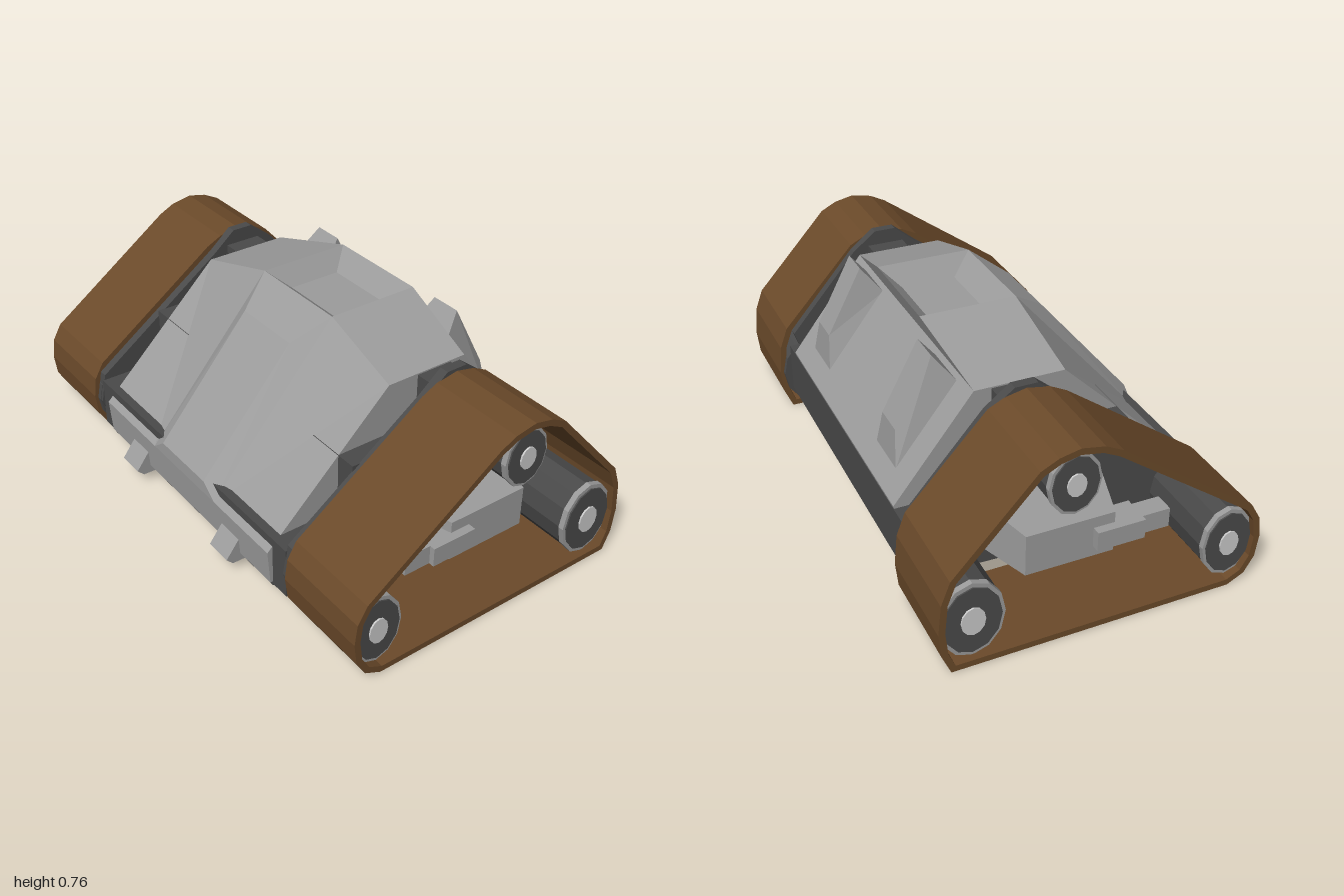
import * as THREE from 'three';

const mat = (color) => new THREE.MeshStandardMaterial({ color, flatShading: true });
const grey = mat(0x9c9c9c), dark = mat(0x4a4a4a), light = mat(0xcccccc), brown = mat(0x6b4a2a);

// Flat-shaded mesh; s = -1 mirrors the geometry across x, keeping faces outward
function part(name, geometry, material, s = 1) {
  const g = geometry.index ? geometry.toNonIndexed() : geometry;
  if (s < 0) {
    const p = g.attributes.position;
    const v = [0, 1, 2].map(() => new THREE.Vector3());
    for (let i = 0; i < p.count; i += 3) {
      v.forEach((q, k) => q.fromBufferAttribute(p, i + k));
      [v[0], v[2], v[1]].forEach((q, k) => p.setXYZ(i + k, -q.x, q.y, q.z));
    }
  }
  g.computeVertexNormals();
  const mesh = new THREE.Mesh(g, material);
  mesh.name = name;
  return mesh;
}

// Extrude a side outline of [z, y] points from x0 to x1
function slab(outline, x0, x1, hole) {
  const vec = (l) => l.map(([z, y]) => new THREE.Vector2(z, y));
  const shape = new THREE.Shape(vec(outline));
  if (hole) shape.holes.push(new THREE.Path(vec(hole)));
  const g = new THREE.ExtrudeGeometry(shape, { depth: x1 - x0, bevelEnabled: false });
  return g.rotateY(-Math.PI / 2).translate(x1, 0, 0);
}

const box = (x0, x1, y0, y1, z0, z1) => new THREE.BoxGeometry(x1 - x0, y1 - y0, z1 - z0)
  .translate((x0 + x1) / 2, (y0 + y1) / 2, (z0 + z1) / 2);

// Move a convex outline inward by a constant thickness
function inset(points, t) {
  const n = points.length;
  const edge = (a, b) => {
    const d = [b[0] - a[0], b[1] - a[1]], l = Math.hypot(...d);
    return [-d[1] / l, d[0] / l];
  };
  return points.map((p, i) => {
    const a = edge(points[(i + n - 1) % n], p), b = edge(p, points[(i + 1) % n]);
    const k = t / (1 + a[0] * b[0] + a[1] * b[1]);
    return [p[0] + (a[0] + b[0]) * k, p[1] + (a[1] + b[1]) * k];
  });
}

// Geometry from named corners and convex faces, counter-clockwise from outside
function faceted(corners, faces) {
  const pos = [];
  for (const f of faces)
    for (let i = 1; i < f.length - 1; i++)
      for (const k of [f[0], f[i], f[i + 1]]) pos.push(...corners[k]);
  const g = new THREE.BufferGeometry();
  g.setAttribute('position', new THREE.Float32BufferAttribute(pos, 3));
  return g;
}

// Six-sided solid: outer rectangle corners then base rectangle corners
const hexa = (corners) => faceted(corners, [
  [0, 1, 2, 3], [7, 6, 5, 4], [0, 4, 5, 1], [1, 5, 6, 2], [2, 6, 7, 3], [3, 7, 4, 0]]);

// Faceted armoured hull; capitals are the +x corners, small letters the -x ones
function hullGeometry() {
  const half = {
    A: [0.2, 0.76, 0.05], B: [0.135, 0.67, 0.18], C: [0.135, 0.25, 0.54], D: [0.2, 0.2, 0.54],
    E: [0.535, 0.66, 0.06], F: [0.535, 0.2, 0.54], G: [0.535, 0.07, 0.53], H: [0.535, 0.08, -0.5],
    I: [0.535, 0.3, -0.54], J: [0.535, 0.66, -0.26], K: [0.2, 0.76, -0.3],
    L: [0.145, 0.69, -0.03], M: [0.145, 0.69, -0.23],
  };
  const corners = {};
  for (const [k, [x, y, z]] of Object.entries(half)) {
    const shift = x < 0.5 ? 0.015 : 0;
    corners[k] = [x + shift, y, z];
    corners[k.toLowerCase()] = [shift - x, y, z];
  }
  const sides = ['AEJK', 'ABD', 'BCD', 'ADE', 'EDF', 'EFGHIJ', 'LAKM'];
  const middle = ['aALl', 'lLMm', 'mMKk', 'bBAa', 'cCBb', 'dDCc', 'fGF', 'fgG',
    'kKJj', 'jJIi', 'iIHh', 'hHGg'];
  const mirrored = sides.map((f) => [...f.toLowerCase()].reverse());
  return faceted(corners, [...sides, ...middle].map((f) => [...f]).concat(mirrored));
}

const trackOutline = [[0.44, 0], [0.5, 0.03], [0.535, 0.09], [0.545, 0.17], [0.535, 0.245],
  [0.5, 0.305], [0.01, 0.655], [-0.05, 0.685], [-0.13, 0.7], [-0.2, 0.685], [-0.26, 0.655],
  [-0.54, 0.35], [-0.57, 0.27], [-0.58, 0.16], [-0.57, 0.07], [-0.54, 0]];
const plateOutline = [[0.4, 0.04], [0.5, 0.08], [0.53, 0.16], [0.51, 0.27], [0.0, 0.635],
  [-0.09, 0.71], [-0.17, 0.71], [-0.26, 0.64], [-0.52, 0.34], [-0.5, 0.28], [-0.38, 0.07]];

// Oval road wheel: drum, pale rim, dark face and hub
function wheel(name, z, y, rz, ry, s) {
  const g = new THREE.Group();
  g.name = name;
  const layer = (part_, k, x0, x1, m) => g.add(part(part_,
    new THREE.CylinderGeometry(k, k, x1 - x0, 12).rotateZ(Math.PI / 2)
      .scale(1, ry, rz).translate((x0 + x1) / 2, y, z), m, s));
  layer('drum', 0.97, 0.62, 0.965, dark);
  layer('rim', 1, 0.955, 0.975, grey);
  layer('wheelFace', 0.89, 0.97, 0.98, dark);
  layer('hub', 0.37, 0.975, 0.986, light);
  return g;
}

// Everything carried on one flank
function trackUnit(s) {
  const g = new THREE.Group();
  g.name = s > 0 ? 'leftTrackUnit' : 'rightTrackUnit';
  g.add(part('track', slab(inset(trackOutline, 0).reverse(), 0.64, 1,
    inset(trackOutline.slice().map((p) => p), 0.022)), brown, s));
  g.add(part('sidePlate', slab(plateOutline, 0.607, 0.642), dark, s));
  g.add(wheel('frontWheel', 0.44, 0.16, 0.095, 0.13, s));
  g.add(wheel('topWheel', -0.13, 0.56, 0.088, 0.11, s));
  g.add(wheel('rearWheel', -0.46, 0.16, 0.11, 0.14, s));
  // Tapered equipment box with a stepped forward arm
  g.add(part('sideBox', hexa([
    [0.88, 0.18, 0.07], [0.88, 0.18, -0.24], [0.88, 0.33, -0.24], [0.88, 0.33, 0.07],
    [0.64, 0.16, 0.14], [0.64, 0.16, -0.31], [0.64, 0.345, -0.31], [0.64, 0.345, 0.14]]), grey, s));
  g.add(part('armBase', box(0.8, 0.91, 0.22, 0.29, -0.005, 0.165), grey, s));
  g.add(part('armTip', box(0.82, 0.89, 0.22, 0.29, 0.165, 0.265), grey, s));
  return g;
}

export function createModel() {
  const model = new THREE.Group();
  model.name = 'trackedVehicle';
  model.add(part('hull', hullGeometry(), grey));

  // Dark chassis beams joining hull and tracks
  const beams = {
    frontBeam: [0.06, 0.25, 0.37, 0.52], rearBeam: [0.1, 0.29, -0.54, -0.4],
    middleBeam: [0.31, 0.47, -0.33, 0.26], topBeam: [0.56, 0.655, -0.2, -0.06],
  };
  for (const [name, b] of Object.entries(beams)) model.add(part(name, box(-0.61, 0.61, ...b), dark));
  model.add(part('bellyPlate', box(-0.535, 0.535, 0.053, 0.075, -0.5, 0.52), dark));

  for (const s of [1, -1]) {
    model.add(trackUnit(s));
    // Skid under the belly, ending in a front tow hook
    model.add(part('skidHook', slab([[0.52, 0.15], [0.5, 0.07], [-0.42, 0.07], [-0.38, 0.04],
      [0.56, 0.04], [0.585, 0.065]], 0.25, 0.355), grey, s));
    // Wedge fin on the sloping rear
    model.add(part('rearFin', hexa([
      [0.395, 0.49, -0.475], [0.28, 0.49, -0.475], [0.28, 0.735, -0.345], [0.395, 0.735, -0.345],
      [0.43, 0.36, -0.49], [0.25, 0.36, -0.49], [0.25, 0.64, -0.27], [0.43, 0.64, -0.27]]), grey, s));
  }
  return model;
}
